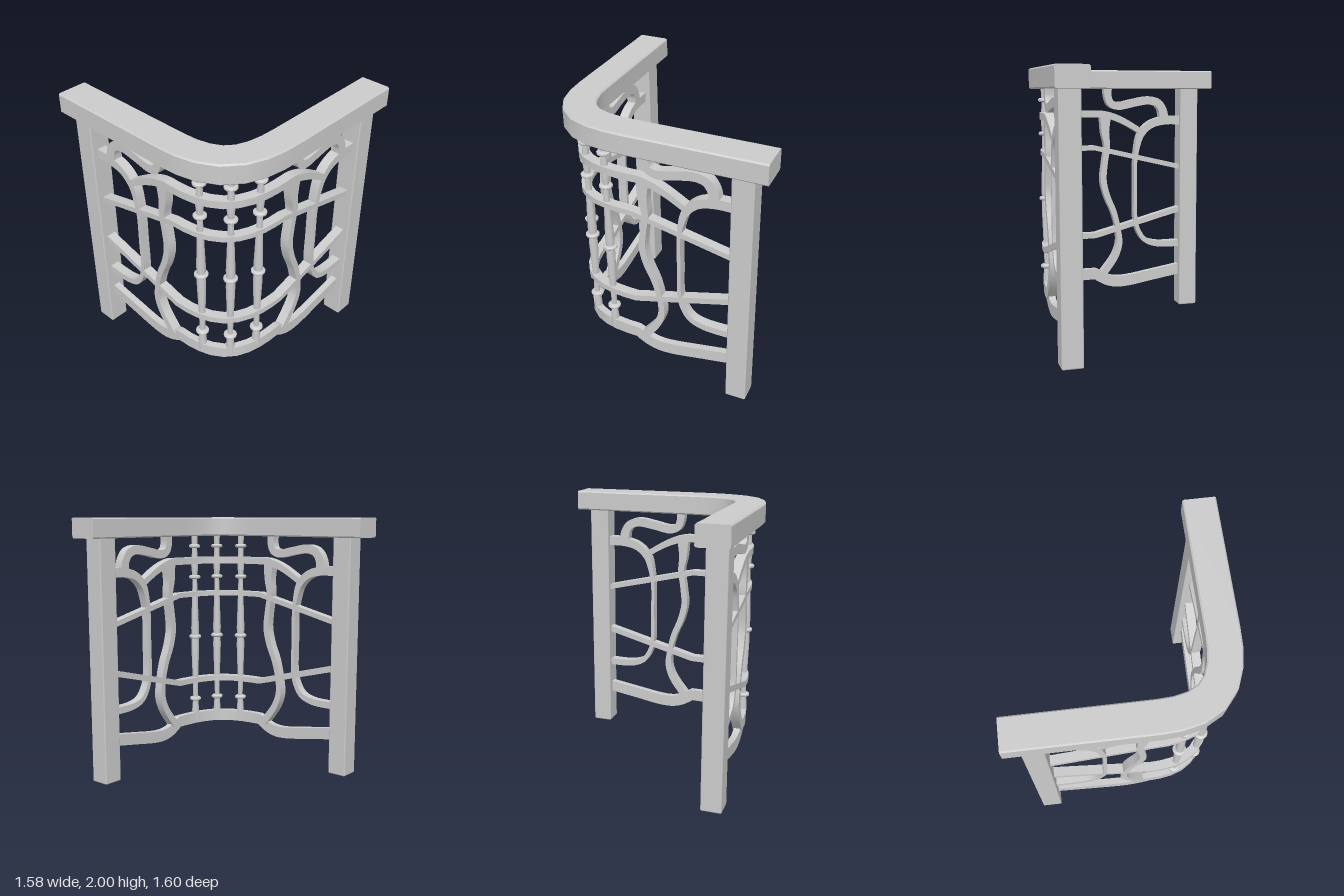
import * as THREE from 'three';
import { toCreasedNormals } from 'three/addons/utils/BufferGeometryUtils.js';
import { RoundedBoxGeometry } from 'three/addons/geometries/RoundedBoxGeometry.js';

const V = (x, y, z = 0) => new THREE.Vector3(x, y, z);
const material = new THREE.MeshStandardMaterial({ color: 0xcccccc, side: THREE.DoubleSide });

// Plan line: straight along x, a rounded corner, then straight towards -z.
// s is the distance along it; on the front straight s equals x.
const X0 = 0.196, Z0 = 0.165, FRONT_Z = 0.686, SIDE_X = 0.674;
const corner = new THREE.CubicBezierCurve3(
  V(X0, 0, FRONT_Z), V(X0 + 0.381, 0, FRONT_Z), V(SIDE_X, 0, Z0 + 0.343), V(SIDE_X, 0, Z0));
const C = corner.getLength();
const sideS = z => X0 + C + Z0 - z;
const mirrorS = s => 2 * X0 + C - s;

// Point at distance s, height y and outward offset d
function place(s, y, d) {
  if (s <= X0) return V(s, y, FRONT_Z + d);
  if (s >= X0 + C) return V(SIDE_X + d, y, Z0 - (s - X0 - C));
  const p = corner.getPointAt((s - X0) / C), t = corner.getTangentAt((s - X0) / C);
  return V(p.x - t.z * d, y, p.z + t.x * d);
}

// Bar of rectangular section swept through points (s, y, width)
function bar(pts, depth, chamfer = 0) {
  const pos = [], idx = [];
  let n = 0;
  pts.forEach((p, i) => {
    const a = pts[Math.max(i - 1, 0)], b = pts[Math.min(i + 1, pts.length - 1)];
    const len = Math.hypot(b.x - a.x, b.y - a.y);
    const ns = -(b.y - a.y) / len, ny = (b.x - a.x) / len;
    const w = p.z / 2, d = depth / 2, c = chamfer;
    const ring = c
      ? [[-w + c, -d], [w - c, -d], [w, -d + c], [w, d - c], [w - c, d], [-w + c, d], [-w, d - c], [-w, -d + c]]
      : [[-w, -d], [w, -d], [w, d], [-w, d]];
    n = ring.length;
    for (const [u, v] of ring) pos.push(...place(p.x + ns * u, p.y + ny * u, v).toArray());
  });
  const last = (pts.length - 1) * n;
  for (let i = 0; i < last; i += n) {
    for (let j = 0; j < n; j++) {
      const k = (j + 1) % n;
      idx.push(i + j, i + k, i + n + j, i + k, i + n + k, i + n + j);
    }
  }
  for (let j = 1; j < n - 1; j++) idx.push(0, j + 1, j, last, last + j, last + j + 1);
  const g = new THREE.BufferGeometry();
  g.setAttribute('position', new THREE.Float32BufferAttribute(pos, 3));
  g.setIndex(idx);
  return toCreasedNormals(g, 0.6);
}

const points = list => list.map(p => V(...p));
const smooth = (list, n) => new THREE.CatmullRomCurve3(points(list)).getPoints(n);
const mirror = pts => pts.map(p => V(mirrorS(p.x), p.y, p.z)).reverse();

// Continues a front bar round the corner and back down the other side
function throughCorner(front) {
  const end = front[front.length - 1], bend = [];
  for (let i = 1; i < 9; i++) bend.push(V(X0 + C * i / 9, end.y, end.z));
  return [...front, ...bend, ...mirror(front)];
}

export function createModel() {
  const model = new THREE.Group();
  const add = (name, geometry, parent = model) => {
    const mesh = new THREE.Mesh(geometry, material);
    mesh.name = name;
    parent.add(mesh);
    return mesh;
  };

  // Handrail
  const rail = [V(-0.7875, 1.925, 0.15), V(X0, 1.925, 0.15)];
  for (let i = 1; i <= 7; i++) rail.push(V(X0 + C * i / 7, 1.925, 0.15));
  rail.push(V(sideS(-0.8), 1.925, 0.15));
  add('handrail', bar(rail, 0.23, 0.01), model);

  // End posts
  for (const [name, x, z] of [['frontPost', -0.607, 0.69], ['sidePost', 0.675, -0.631]]) {
    add(name, new RoundedBoxGeometry(0.152, 1.86, 0.152, 2, 0.01)).position.set(x, 0.93, z);
  }

  // Bars that run round the corner
  add('bottomBar', bar(throughCorner(smooth([[-0.56, 0.315, 0.09], [-0.3, 0.272, 0.09],
    [-0.08, 0.237, 0.092], [0.02, 0.235, 0.092], [0.1, 0.255, 0.09], [X0, 0.31, 0.09]], 20)), 0.05));
  add('lowerMiddleBar', bar(throughCorner(points([[-0.56, 0.843, 0.045], [X0, 0.64, 0.045]])), 0.07));
  add('upperMiddleBar', bar(throughCorner(points([[-0.56, 1.193, 0.04], [X0, 1.37, 0.04]])), 0.07));
  add('upperBar', bar(throughCorner(smooth([[-0.2, 1.5, 0.045], [-0.06, 1.582, 0.05],
    [0.04, 1.625, 0.055], [0.13, 1.647, 0.055], [X0, 1.647, 0.055]], 16)), 0.072));

  // Curving ironwork, once on each side of the corner
  const ironwork = {
    branch: smooth([[-0.56, 1.592, 0.075], [-0.4, 1.59, 0.07], [-0.28, 1.555, 0.062], [-0.2, 1.475, 0.055],
      [-0.165, 1.36, 0.04], [-0.15, 1.24, 0.028], [-0.15, 1, 0.028], [-0.15, 0.78, 0.03], [-0.17, 0.68, 0.035],
      [-0.23, 0.585, 0.042], [-0.33, 0.545, 0.05], [-0.56, 0.538, 0.055]], 50),
    scroll: smooth([[-0.4, 1.6, 0.08], [-0.385, 1.68, 0.07], [-0.345, 1.735, 0.068], [-0.27, 1.757, 0.068],
      [-0.14, 1.738, 0.065], [0, 1.713, 0.065], [0.06, 1.735, 0.06], [0.083, 1.79, 0.06], [0.083, 1.87, 0.065]], 40),
    upright: smooth([[0.105, 1.63, 0.09], [0.108, 1.5, 0.065], [0.093, 1.38, 0.048], [0.112, 1.24, 0.046],
      [0.124, 1.1, 0.05], [0.095, 0.97, 0.05], [0.037, 0.83, 0.046], [0.002, 0.69, 0.042], [-0.008, 0.56, 0.05],
      [0.03, 0.45, 0.055], [0.14, 0.3, 0.06]], 50),
  };
  for (const side of ['front', 'side']) {
    const panel = new THREE.Group();
    panel.name = side + 'Ironwork';
    model.add(panel);
    for (const [name, pts] of Object.entries(ironwork)) {
      add(name, bar(side === 'front' ? pts : mirror(pts), 0.07), panel);
    }
  }

  // Turned balusters round the corner
  const profile = [[0, 0.3], [0.028, 0.3], [0.03, 0.38], [0.024, 0.465]];
  const ring = (y, r, below, above) => {
    profile.push([below, y - 0.016], [r - 0.008, y - 0.014], [r, y - 0.006], [r, y + 0.006],
      [r - 0.008, y + 0.014], [above, y + 0.016]);
  };
  ring(0.475, 0.047, 0.024, 0.02);
  profile.push([0.021, 0.55], [0.033, 0.93]);
  ring(1.01, 0.05, 0.031, 0.031);
  profile.push([0.033, 1.08], [0.021, 1.43]);
  ring(1.51, 0.047, 0.02, 0.022);
  profile.push([0.029, 1.6], [0.022, 1.73]);
  ring(1.765, 0.047, 0.022, 0.024);
  profile.push([0.026, 1.87], [0, 1.87]);
  profile[3] = [0.024, 0.45];
  const turned = toCreasedNormals(
    new THREE.LatheGeometry(profile.map(p => new THREE.Vector2(...p)), 16), 0.7);
  for (const f of [0.25, 0.5, 0.75]) {
    add('baluster', turned).position.copy(place(X0 + C * f, 0, 0));
  }
  return model;
}
